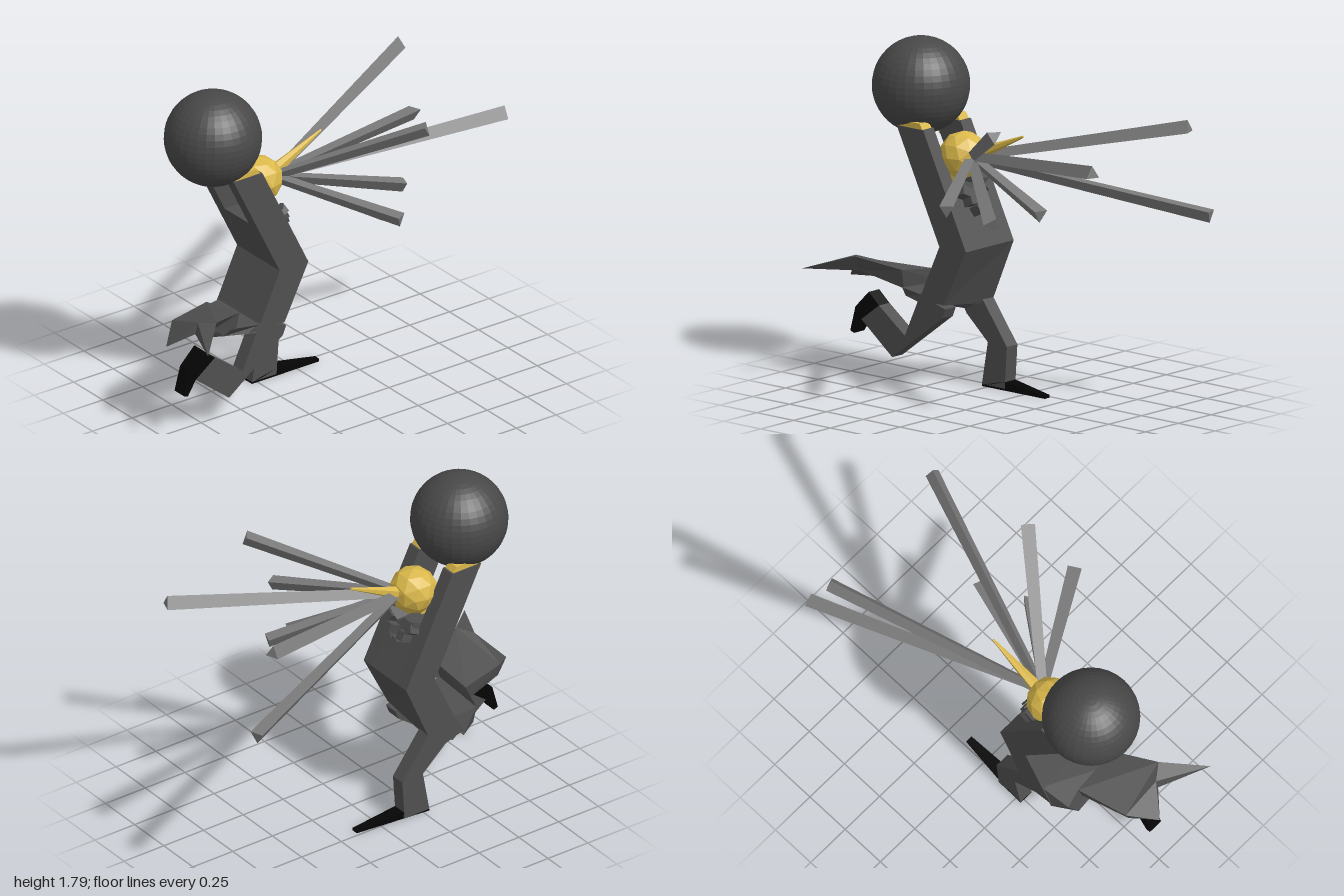
import * as THREE from 'three';

const V = (x, y, z) => new THREE.Vector3(x, y, z);
const mat = (name, color, extra = {}) => {
  const m = new THREE.MeshStandardMaterial({ color, flatShading: true, ...extra });
  m.name = name;
  return m;
};

export function createModel() {
  const group = new THREE.Group();
  const grey = mat('suit grey', 0x505050);
  const tailGrey = mat('tail grey', 0x505050, { side: THREE.DoubleSide });
  const barGrey = mat('bar grey', 0x7a7a7a);
  const ballGrey = mat('ball grey', 0x484848);
  const gold = mat('gold', 0xdab84a);
  const black = mat('shoe black', 0x050505);
  const CX = -0.0925; // body mirror plane

  const add = (name, geo, material) => {
    const mesh = new THREE.Mesh(geo, material);
    mesh.name = name;
    group.add(mesh);
    return mesh;
  };

  // side profile of [z, y] points, extruded from x0 to x1
  const slab = (name, pts, x0, x1, material) => {
    const shape = new THREE.Shape(pts.map(([z, y]) => new THREE.Vector2(z, y)));
    const geo = new THREE.ExtrudeGeometry(shape, { depth: x1 - x0, bevelEnabled: false });
    geo.rotateY(-Math.PI / 2).translate(x1, 0, 0);
    return add(name, geo, material);
  };

  // move the vertices of a mesh by a rule
  const bend = (mesh, rule) => {
    const p = mesh.geometry.attributes.position;
    for (let i = 0; i < p.count; i++) {
      const v = V(p.getX(i), p.getY(i), p.getZ(i));
      rule(v);
      p.setXYZ(i, v.x, v.y, v.z);
    }
    mesh.geometry.computeVertexNormals();
  };

  // tapered prism between two points; with three sides and no roll a flat face is on top
  const bar = (name, a, b, r0, r1, sides, roll, material) => {
    const geo = new THREE.CylinderGeometry(r1, r0, a.distanceTo(b), sides);
    geo.rotateX(Math.PI / 2).rotateZ(roll);
    const m = add(name, geo, material);
    m.position.copy(a).add(b).multiplyScalar(0.5);
    m.lookAt(b);
  };

  // torso, its lower edge rising towards the left
  const torso = slab('torso', [[0.457, 1.05], [0.32, 0.77], [0.44, 0.51], [0.5, 0.4], [0.39, 0.365],
    [0.29, 0.42], [0.14, 0.77], [0.28, 1.05]], -0.275, 0.09, grey);
  bend(torso, (v) => {
    if (v.y < 0.45 && v.x > 0) v.y = Math.max(v.y, 0.47);
  });

  // raised arms and hands
  for (const [side, x0] of [['left', 0.01], ['right', -0.275]]) {
    slab(side + 'Arm', [[0.61, 1.36], [0.32, 0.77], [0.14, 0.77], [0.43, 1.36]], x0, x0 + 0.08, grey);
    slab(side + 'Hand', [[0.595, 1.36], [0.44, 1.36], [0.46, 1.39], [0.55, 1.39]], x0 + 0.005, x0 + 0.075, gold);
  }
  // palm wedge: slanted lower edge
  const palm = slab('rightPalm', [[0.615, 1.355], [0.573, 1.27], [0.56, 1.27], [0.6, 1.355]], -0.272, -0.195, gold);
  bend(palm, (v) => {
    if (v.y < 1.3 && v.x < -0.25) {
      v.y = 1.33;
      v.z += 0.03;
    }
  });

  // standing leg (right) and lifted leg (left)
  slab('rightLeg', [[0.42, 0.42], [0.39, 0.365], [0.245, 0.235], [0.285, 0.01], [0.13, 0.01],
    [0.115, 0.23], [0.285, 0.46]], -0.275, -0.195, grey);
  slab('leftLeg', [[0.45, 0.5], [0.555, 0.27], [0.73, 0.4], [0.85, 0.31], [0.64, 0.145],
    [0.3, 0.4], [0.28, 0.45]], 0.01, 0.09, grey);
  const rightShoe = slab('rightShoe', [[0.285, 0.01], [0.285, 0], [-0.14, 0], [-0.14, 0.015], [0.13, 0.045]],
    -0.275, -0.195, black);
  // narrow the toe
  bend(rightShoe, (v) => {
    if (v.z < 0) v.x = -0.215 + (v.x + 0.235) * 0.45;
  });
  slab('leftShoe', [[0.8, 0.46], [0.73, 0.4], [0.85, 0.31], [0.9, 0.23], [0.925, 0.24], [0.89, 0.37]],
    0.01, 0.09, black);

  // forked tail: cross-sections [left top, right top, right bottom, left bottom]
  const rings = [
    [V(-0.27, 0.5, 0.43), V(0.09, 0.5, 0.43), V(0.09, 0.46, 0.46), V(-0.275, 0.37, 0.5)],
    [V(-0.25, 0.49, 0.6), V(0.06, 0.51, 0.6), V(0.01, 0.455, 0.62), V(-0.195, 0.365, 0.62)],
    [V(-0.17, 0.57, 0.59), V(0.09, 0.61, 0.575), V(0.07, 0.51, 0.58), V(-0.15, 0.47, 0.6)],
    [V(-0.1, 0.575, 0.86), V(0.2, 0.665, 0.8), V(0.13, 0.575, 0.82), V(-0.08, 0.5, 0.86)],
  ];
  const tri = [];
  const quad = (a, b, c, d) => tri.push(a, b, c, a, c, d);
  for (let r = 0; r < 3; r++) {
    for (let k = 0; k < 4; k++) {
      const n = (k + 1) % 4;
      quad(rings[r][k], rings[r + 1][k], rings[r + 1][n], rings[r][n]);
    }
  }
  const [lt, rt, rb, lb] = rings[3];
  const mt = V(0.12, 0.65, 0.86), mb = V(0.12, 0.59, 0.875);
  const fork = (ring, tip) => ring.forEach((v, k) => tri.push(v, tip, ring[(k + 1) % 4]));
  fork([lt, mt, mb, lb], V(0.02, 0.51, 0.985));
  fork([mt, rt, rb, mb], V(0.385, 0.605, 0.99));
  tri.push(lt, mt, rt, lb, rb, mb);
  const tail = new THREE.BufferGeometry().setFromPoints(tri);
  tail.computeVertexNormals();
  add('tail', tail, tailGrey);

  // head, neck and long nose
  add('head', new THREE.IcosahedronGeometry(0.125, 1), gold).position.set(CX, 1.22, 0.318);
  add('neck', new THREE.BoxGeometry(0.06, 0.065, 0.05), gold).position.set(CX - 0.005, 1.11, 0.37);
  bar('nose', V(CX, 1.225, 0.25), V(-0.1, 1.375, -0.08), 0.036, 0.006, 6, 0, gold);

  // zigzag collar below the head
  for (const s of [-1, 1]) {
    for (let i = 0; i < 3; i++) {
      const link = add('collarLink', new THREE.BoxGeometry(0.05, 0.05, 0.06), grey);
      link.position.set(CX + s * (0.085 - i * 0.03), 1.05 - i * 0.045, 0.245 - i * 0.025);
      link.rotation.set(0.45, 0, s * (0.5 - i * 0.4));
    }
    const wing = slab('collarWing', [[0.4, 1.04], [0.24, 1.04], [0.24, 1.1]],
      CX + s * 0.07 - 0.035, CX + s * 0.07 + 0.035, grey);
    // each wing falls away towards the neck
    bend(wing, (v) => {
      if (s * (v.x - CX) < 0.06) v.y = 1.04 + (v.y - 1.04) * 0.2;
    });
  }

  // triangular bars fanning out from the head: end point and roll
  const bars = [
    [-0.49, 1.475, -0.86, Math.PI], [-0.52, 1.035, -0.98, 0], [0.43, 1.515, -0.355, 0],
    [0.325, 1.39, -0.93, Math.PI], [0.53, 1.11, -0.12, 0], [0.275, 1.0, -0.2, Math.PI / 6],
    [0.15, 1.065, -0.42, 0],
  ];
  for (const [x, y, z, roll] of bars) {
    bar('hairBar', V(-0.08, 1.22, 0.25), V(x, y, z), 0.028, 0.042, 3, roll, barGrey);
  }

  // carried ball
  add('ball', new THREE.SphereGeometry(0.25, 32, 24), ballGrey).position.set(CX, 1.54, 0.607);

  return group;
}
